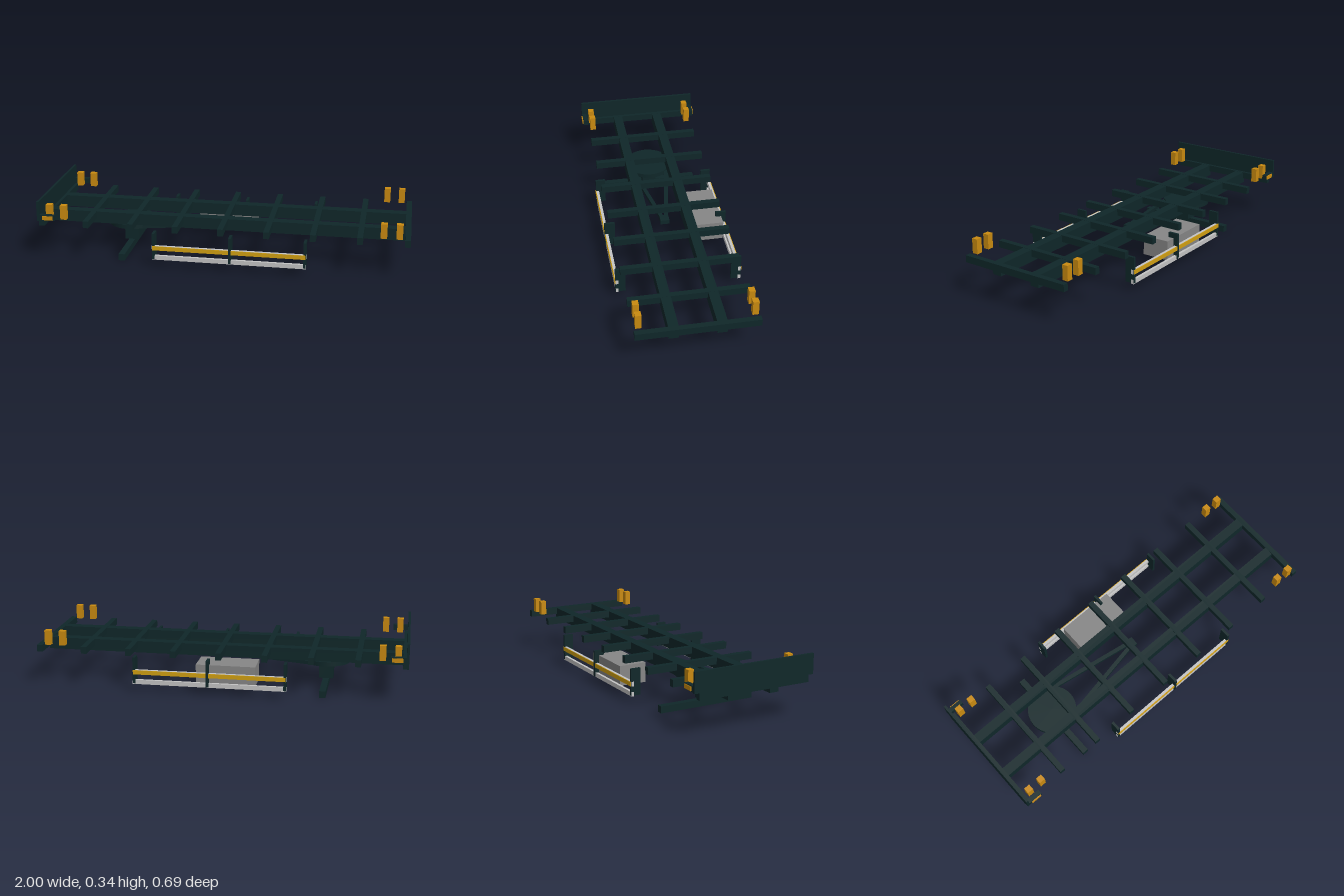
import * as THREE from 'three';

const mat = (name, color) => new THREE.MeshStandardMaterial({ name, color });

export function createModel() {
  const root = new THREE.Group();
  root.name = 'trailerChassis';
  const dark = mat('darkFrame', 0x0f2729);
  const amber = mat('amber', 0xc98a10);
  const yellow = mat('yellowStripe', 0xd2a012);
  const light = mat('lightGrey', 0xc4c4c4);
  const grey = mat('boxGrey', 0x868686);

  // box from its minimum and maximum on each axis
  const box = (name, m, x0, x1, y0, y1, z0, z1) => {
    const mesh = new THREE.Mesh(new THREE.BoxGeometry(x1 - x0, y1 - y0, z1 - z0), m);
    mesh.position.set((x0 + x1) / 2, (y0 + y1) / 2, (z0 + z1) / 2);
    mesh.name = name;
    root.add(mesh);
    return mesh;
  };
  // the same box on both sides, z0 < z1 measured outward
  const pair = (name, m, x0, x1, y0, y1, z0, z1) => {
    box(name + 'Left', m, x0, x1, y0, y1, z0, z1);
    box(name + 'Right', m, x0, x1, y0, y1, -z1, -z0);
  };

  // long rails and cross members
  pair('mainRail', dark, -0.985, 0.985, 0.164, 0.229, 0.095, 0.147);
  for (let i = 0; i < 9; i++) {
    const x = -0.985 + i * 0.24625;
    box('crossMember', dark, x - 0.015, x + 0.015, 0.192, 0.23, -0.315, 0.315);
  }

  // end board with corner brackets and side lamps
  box('endBoard', dark, -1, -0.987, 0.229, 0.336, -0.343, 0.343);
  pair('cornerBracket', dark, -0.987, -0.905, 0.232, 0.262, 0.317, 0.342);
  pair('sideLamp', amber, -0.97, -0.912, 0.236, 0.258, 0.342, 0.347);

  // corner locks
  for (const x of [-0.944, -0.864, 0.86, 0.941]) {
    pair('cornerLock', amber, x - 0.017, x + 0.017, 0.23, 0.31, 0.274, 0.306);
  }

  // turntable, column and axle
  const disc = new THREE.Mesh(new THREE.CylinderGeometry(0.133, 0.133, 0.025, 32), dark);
  disc.position.set(-0.552, 0.143, 0);
  disc.name = 'turntable';
  root.add(disc);
  box('column', dark, -0.593, -0.515, 0.037, 0.14, -0.04, 0.04);
  box('axle', dark, -0.571, -0.537, 0, 0.037, -0.275, 0.275);

  // V-shaped drawbar
  for (const s of [-1, 1]) {
    const a = new THREE.Vector3(-0.49, 0.139, s * 0.1);
    const b = new THREE.Vector3(0.025, 0.152, s * 0.008);
    const arm = new THREE.Mesh(new THREE.BoxGeometry(0.022, 0.018, a.distanceTo(b)), dark);
    arm.position.copy(a).lerp(b, 0.5);
    arm.lookAt(b);
    arm.name = 'drawbarArm';
    root.add(arm);
  }
  box('drawbarEye', dark, 0, 0.05, 0.14, 0.165, -0.025, 0.025);

  // tool box
  box('toolBox', grey, -0.2, 0.12, 0.054, 0.163, -0.315, -0.16);

  // side guards: posts, two bars, coloured stripe
  for (const x of [-0.36, 0.055, 0.455]) {
    const outer = x === 0.055 ? 0.341 : 0.337;
    pair('guardPost', dark, x - 0.007, x + 0.007, 0.047, 0.191, 0.283, outer);
  }
  pair('lowerGuardBar', light, -0.368, 0.463, 0.043, 0.067, 0.321, 0.336);
  pair('upperGuardBar', light, -0.368, 0.463, 0.097, 0.122, 0.321, 0.336);
  pair('guardStripe', yellow, -0.365, 0.46, 0.098, 0.121, 0.336, 0.34);

  return root;
}
